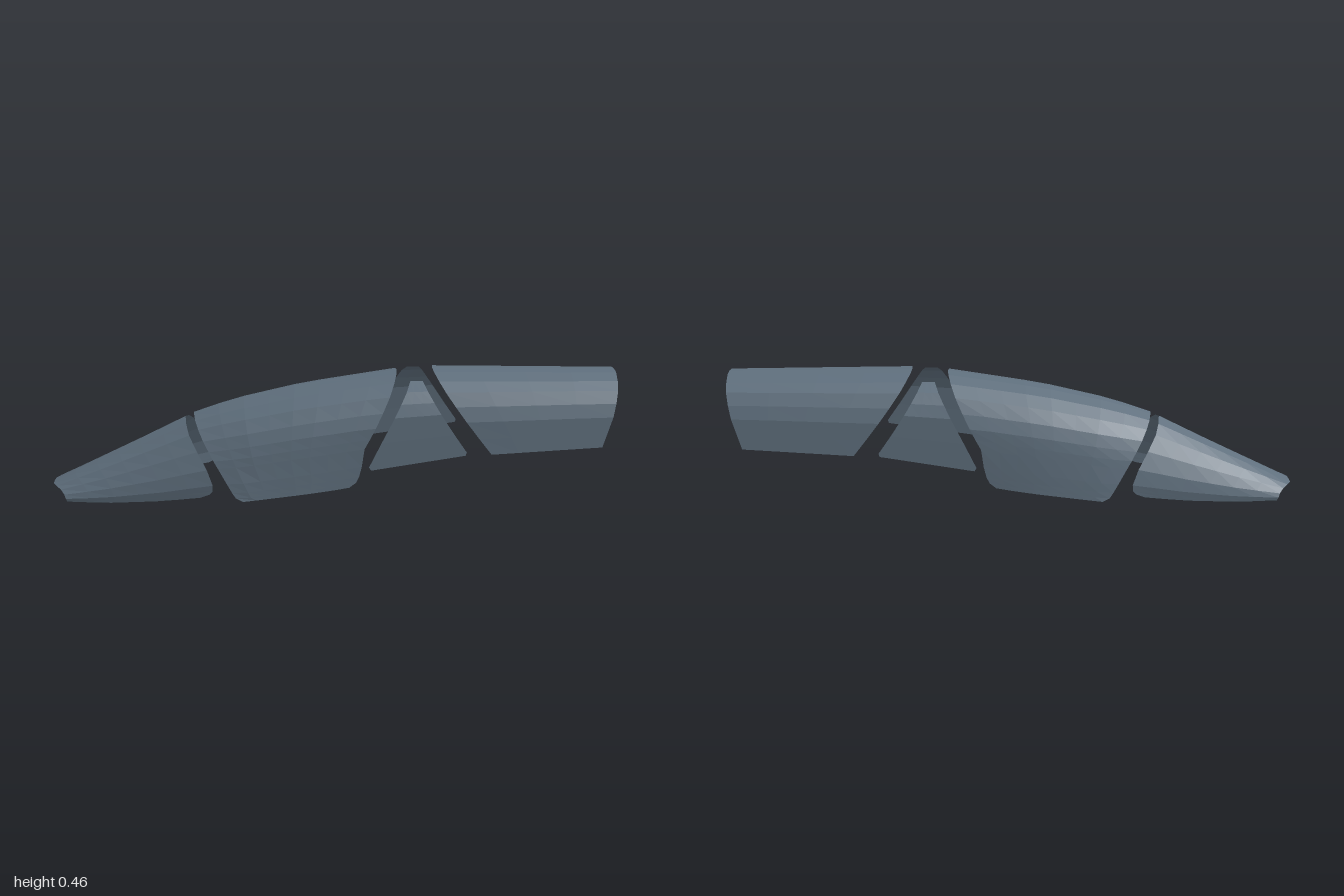
import * as THREE from 'three';

// Piecewise-linear lookup in a short list of [key, value] pairs
function at(pairs, k) {
  if (k <= pairs[0][0]) return pairs[0][1];
  for (let i = 1; i < pairs.length; i++) {
    const [k0, v0] = pairs[i - 1], [k1, v1] = pairs[i];
    if (k <= k1) return v0 + (v1 - v0) * (k - k0) / (k1 - k0);
  }
  return pairs[pairs.length - 1][1];
}

// Arch profiles: drop from ridge to hem (0..1) -> share of the half width
const ROUND = [[0, 0], [0.065, 0.3], [0.19, 0.56], [0.41, 0.78], [0.65, 0.94], [0.85, 1], [1, 0.98]];
const POINTED = [[0, 0], [0.05, 0.28], [0.15, 0.52], [0.3, 0.72], [0.5, 0.85], [0.75, 0.94], [1, 1]];
const FULL = [[0, 0], [0.015, 0.22], [0.09, 0.5], [0.19, 0.72], [0.36, 0.86], [0.55, 0.95], [1, 1]];
const BOXY = [[0, 0], [0.015, 0.22], [0.065, 0.47], [0.157, 0.73], [0.28, 0.86], [0.42, 0.95], [0.7, 0.98], [1, 1]];

// Curved sheet between two slanted edges; ridge, hem and width vary with x
function plate(name, material, p) {
  const rows = p.levels.map(h => [h, 1]);
  const mirrored = p.levels.map(h => [h, -1]);
  const strip = p.side
    ? (p.side > 0 ? rows.reverse() : mirrored)
    : [...rows.reverse(), ...mirrored.slice(1)];
  const steps = p.steps, pos = [], index = [];
  strip.forEach(([h, sign], i) => {
    const x0 = at(p.start, h), x1 = at(p.end, h);
    for (let j = 0; j <= steps; j++) {
      const s = j / steps, x = x0 + (x1 - x0) * s;
      const top = at(p.ridge, x), y = top + (at(p.hem, x) - top) * h;
      const g = at(p.profile[0], h) * (1 - s) + at(p.profile[1], h) * s;
      pos.push(x, y, sign * g * at(p.width, x));
      if (i && j) {
        const d = i * (steps + 1) + j, c = d - 1, b = d - steps - 1, a = b - 1;
        index.push(a, b, c, b, d, c);
      }
    }
  });
  const geometry = new THREE.BufferGeometry();
  geometry.setAttribute('position', new THREE.Float32BufferAttribute(pos, 3));
  geometry.setIndex(index);
  geometry.computeVertexNormals();
  const mesh = new THREE.Mesh(geometry, material);
  mesh.name = name;
  return mesh;
}

export function createModel() {
  const model = new THREE.Group();
  model.name = 'segmentedGuard';
  const steel = new THREE.MeshStandardMaterial({
    color: 0x5f6f7d, flatShading: true, side: THREE.DoubleSide,
  });
  steel.name = 'blueGreySteel';

  // Tapered tip with a notched nose
  model.add(plate('tipPlate', steel, {
    levels: [0, 0.065, 0.19, 0.41, 0.65, 0.85, 0.93, 0.97, 1], steps: 6,
    profile: [ROUND, ROUND],
    start: [[0, -1], [0.065, -1], [0.19, -0.985], [0.41, -0.965], [0.65, -0.95], [1, -0.94]],
    end: [[0, -0.52], [0.19, -0.5], [0.41, -0.47], [0.65, -0.435], [0.85, -0.415], [0.93, -0.417], [0.97, -0.428], [1, -0.46]],
    ridge: [[-1, 0.045], [-0.52, 0.285], [-0.41, 0.335]],
    hem: [[-1, 0], [-0.8, 0.005], [-0.6, 0.022], [-0.42, 0.048]],
    width: [[-1, 0.1], [-0.94, 0.109], [-0.8, 0.133], [-0.42, 0.188]],
  }));

  // Arched middle plate with rounded lower corners
  model.add(plate('middlePlate', steel, {
    levels: [0, 0.015, 0.065, 0.157, 0.29, 0.42, 0.53, 0.62, 0.8, 0.9, 0.96, 1], steps: 8,
    profile: [POINTED, BOXY],
    start: [[0, -0.49], [0.28, -0.45], [0.51, -0.415], [0.88, -0.352], [0.96, -0.335], [1, -0.31]],
    end: [[0, 0.23], [0.157, 0.2], [0.53, 0.13], [0.62, 0.112], [0.8, 0.103], [0.9, 0.094], [0.96, 0.083], [1, 0.06]],
    ridge: [[-0.49, 0.3], [-0.43, 0.322], [-0.32, 0.355], [-0.1, 0.405], [0.23, 0.455]],
    hem: [[-0.32, 0.035], [0, 0.074], [0.1, 0.09]],
    width: [[-0.49, 0.18], [-0.42, 0.193], [-0.3, 0.206], [-0.1, 0.204], [0.1, 0.192], [0.23, 0.186]],
  }));

  // Pair of side plates filling the joint
  for (const side of [1, -1]) {
    model.add(plate(side > 0 ? 'frontJointPlate' : 'backJointPlate', steel, {
      side, levels: [0.07, 0.157, 0.28, 0.42, 0.7, 0.96, 1], steps: 3,
      profile: [BOXY, BOXY],
      start: [[0.07, 0.272], [0.96, 0.128], [1, 0.135]],
      end: [[0.07, 0.316], [0.97, 0.468], [1, 0.462]],
      ridge: [[0.13, 0.458], [0.47, 0.46]],
      hem: [[0.13, 0.145], [0.47, 0.198]],
      width: [[0.13, 0.192], [0.47, 0.185]],
    }));
  }

  // Straight rear plate
  model.add(plate('rearPlate', steel, {
    levels: [0, 0.015, 0.09, 0.19, 0.36, 0.55, 0.78, 1], steps: 4,
    profile: [FULL, FULL],
    start: [[0, 0.355], [1, 0.552]],
    end: [[0, 1], [0.5, 0.975], [1, 0.938]],
    ridge: [[0.355, 0.462], [1, 0.455]],
    hem: [[0.355, 0.19], [0.55, 0.2], [0.94, 0.22]],
    width: [[0.355, 0.189], [0.55, 0.185], [1, 0.168]],
  }));

  return model;
}
